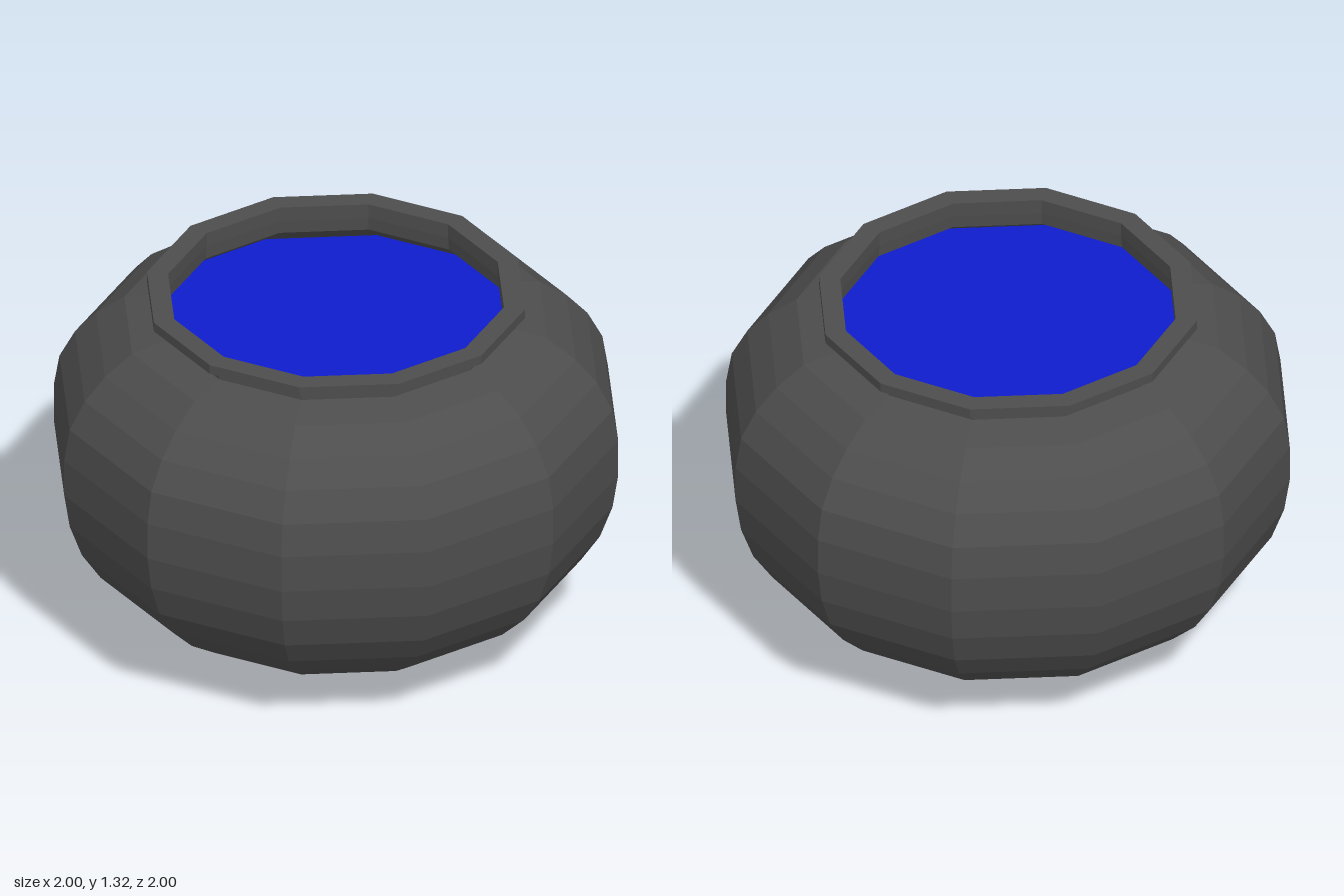
import * as THREE from 'three';

const SIDES = 12;
const toPoints = (list) => list.map(([r, y]) => new THREE.Vector2(r, y));

export function createModel() {
  const group = new THREE.Group();
  group.name = 'bowlOfWater';

  const bowlMaterial = new THREE.MeshStandardMaterial({ color: 0x4d4d4d, flatShading: true });
  const waterMaterial = new THREE.MeshStandardMaterial({ color: 0x0d1ccc, flatShading: true });

  // Bowl: foot and belly, neck, flared lip, then down the inner wall
  const outer = [
    [0, 0], [0.345, 0], [0.51, 0.07], [0.64, 0.135], [0.765, 0.22], [0.866, 0.32],
    [0.935, 0.425], [0.98, 0.55], [1, 0.68], [1, 0.82], [0.98, 0.94],
    [0.925, 1.045], [0.85, 1.13], [0.75, 1.205], [0.62, 1.235],
  ];
  const lip = [[0.62, 1.257], [0.67, 1.28], [0.67, 1.315], [0.595, 1.315], [0.595, 1.26]];
  const inner = [
    [0.6, 1.21], [0.69, 1.16], [0.78, 1.07], [0.85, 0.98], [0.91, 0.82], [0.91, 0.68],
    [0.85, 0.46], [0.7, 0.28], [0.5, 0.16], [0.32, 0.09], [0, 0.09],
  ];
  const bowl = new THREE.Mesh(
    new THREE.LatheGeometry(toPoints([...outer, ...lip, ...inner]), SIDES),
    bowlMaterial,
  );
  bowl.name = 'bowl';
  group.add(bowl);

  // Water surface, reaching the inner wall below the neck
  const water = new THREE.Mesh(new THREE.CircleGeometry(0.755, SIDES), waterMaterial);
  water.name = 'water';
  water.rotation.x = -Math.PI / 2;
  water.position.y = 1.1;
  group.add(water);

  return group;
}
